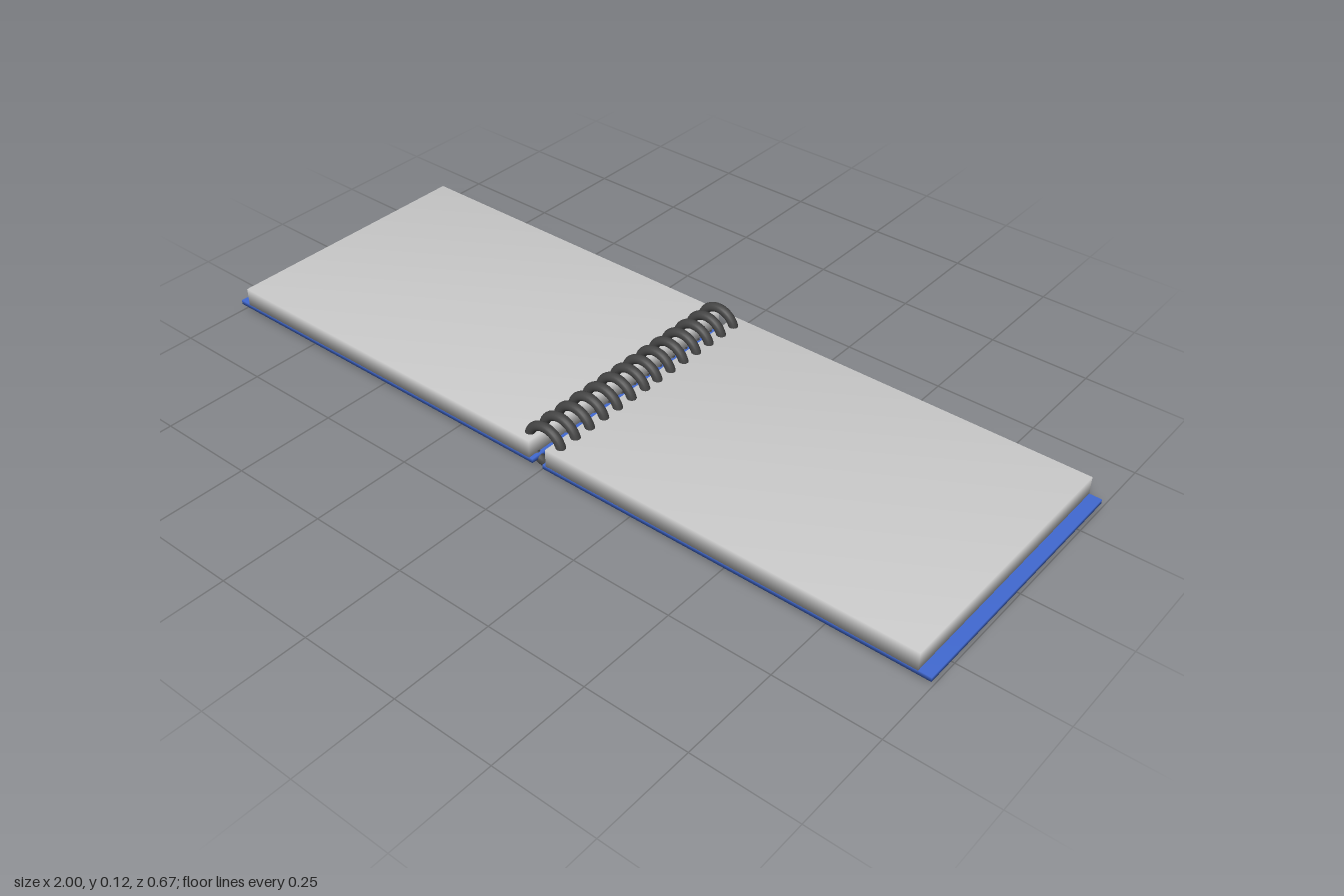
import * as THREE from 'three';
import { mergeVertices } from 'three/addons/utils/BufferGeometryUtils.js';

const DEPTH = 0.674;

// Thin slab between two x and two y values, with softly shared normals
function slab(name, x0, x1, y0, y1, material) {
  let geo = new THREE.BoxGeometry(x1 - x0, y1 - y0, DEPTH);
  geo.deleteAttribute('normal');
  geo.deleteAttribute('uv');
  geo = mergeVertices(geo);
  geo.computeVertexNormals();
  const mesh = new THREE.Mesh(geo, material);
  mesh.name = name;
  mesh.position.set((x0 + x1) / 2, (y0 + y1) / 2, 0);
  return mesh;
}

export function createModel() {
  const model = new THREE.Group();
  model.name = 'openRingNotebook';
  const paper = new THREE.MeshStandardMaterial({ color: 0xcccccc });
  const blue = new THREE.MeshStandardMaterial({ color: 0x4169d1 });
  const dark = new THREE.MeshStandardMaterial({ color: 0x444444 });

  // Covers and page blocks, mirrored about the spine
  model.add(
    slab('leftCover', 0.015, 1, 0.018, 0.029, blue),
    slab('rightCover', -1, -0.015, 0.018, 0.029, blue),
    slab('leftPages', 0.024, 0.97, 0.028, 0.074, paper),
    slab('rightPages', -0.97, -0.024, 0.028, 0.074, paper)
  );

  // Binding: two rows of seven rings along the spine
  const binding = new THREE.Group();
  binding.name = 'ringBinding';
  const ringGeo = new THREE.TorusGeometry(0.0475, 0.0115, 16, 40);
  for (const start of [0.309, -0.019]) {
    for (let i = 0; i < 7; i++) {
      const ring = new THREE.Mesh(ringGeo, dark);
      ring.name = 'ring';
      ring.position.set(0, 0.059, start - i * 0.0473);
      binding.add(ring);
    }
  }
  model.add(binding);
  return model;
}
